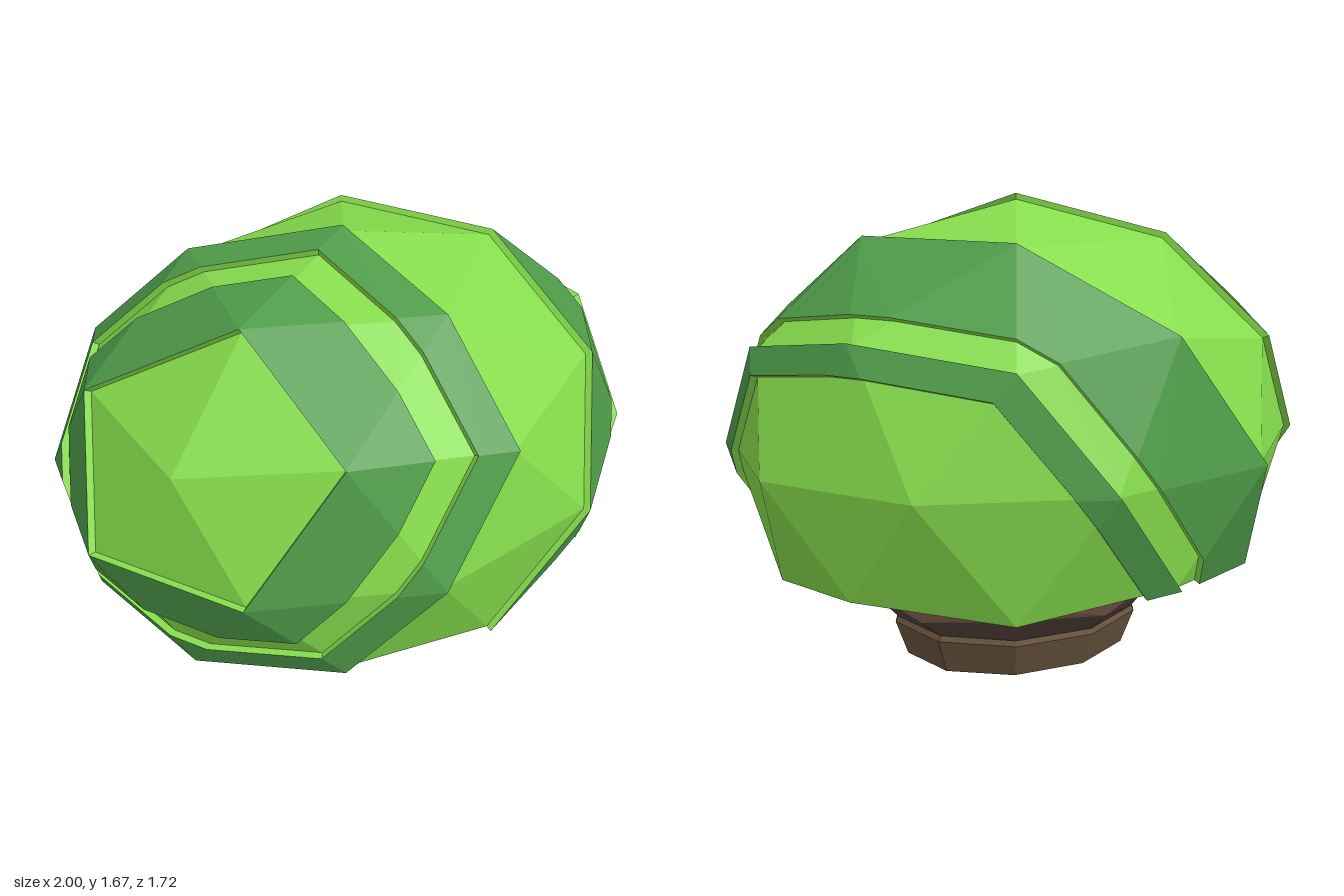
import * as THREE from 'three';

const LIGHT = 0x86dc4c, DARK = 0x4f9c4a, BROWN = 0x57443a, ROSE = 0x8c665a, POT = 0x6b553f;
const SIZE = new THREE.Vector3(1.05, 0.86, 0.86), CENTRE_Y = 0.81, RECESS = 0.975;
// axis the stripes wrap around
const AXIS = new THREE.Vector3(-0.7236, 0.4472, 0.5257);

function flatMesh(name, triangles, color) {
  const geo = new THREE.BufferGeometry().setFromPoints(triangles);
  geo.computeVertexNormals();
  const mesh = new THREE.Mesh(geo, new THREE.MeshStandardMaterial({ color, flatShading: true, side: THREE.DoubleSide }));
  mesh.name = name;
  return mesh;
}

// sphere point -> model point, s = 1 for raised stripes, less for recessed panels
const place = (p, s) => new THREE.Vector3(p.x, p.y, p.z).multiplyScalar(s).multiply(SIZE).add(new THREE.Vector3(0, CENTRE_Y, 0));

// ring number (0 to 6) counted along the stripe axis, stored in w
function ringPoint(v) {
  const d = v.dot(AXIS), a = Math.abs(d);
  const ring = a > 0.95 ? 0 : a > 0.7 ? 1 : a > 0.3 ? 2 : 3;
  return new THREE.Vector4(v.x, v.y, v.z, d < 0 ? 6 - ring : ring);
}

// icosphere of one subdivision, open at the bottom
function ballFaces() {
  const ring = (k, y, turn) => {
    const a = (k * 2 + turn) * Math.PI / 5;
    return new THREE.Vector3(Math.cos(a) * 0.8944, y, Math.sin(a) * 0.8944);
  };
  const top = new THREE.Vector3(0, 1, 0), faces = [];
  const split = (a, b, c) => {
    const mid = (p, q) => p.clone().add(q).normalize();
    const ab = mid(a, b), bc = mid(b, c), ca = mid(c, a);
    for (const f of [[a, ab, ca], [ab, b, bc], [ca, bc, c], [ab, bc, ca]]) faces.push(f.map(ringPoint));
  };
  for (let k = 0; k < 5; k++) {
    const u = ring(k, 0.4472, 0), u2 = ring(k + 1, 0.4472, 0);
    const l = ring(k, -0.4472, 1), l2 = ring(k + 1, -0.4472, 1);
    split(top, u2, u);
    split(u, u2, l);
    split(l, u2, l2);
  }
  return faces;
}

// keep the part of a polygon on one side of a ring level
function clip(poly, level, sign) {
  const out = [];
  poly.forEach((p, i) => {
    const q = poly[(i + 1) % poly.length];
    const dp = (p.w - level) * sign, dq = (q.w - level) * sign;
    if (dp >= 0) out.push(p);
    if (dp * dq < 0) out.push(p.clone().lerp(q, dp / (dp - dq)));
  });
  return out;
}

function buildBall() {
  const group = new THREE.Group();
  group.name = 'stripedBall';
  const panels = [], stripes = [], walls = [], edges = new Map();
  const key = p => [p.x, p.y, p.z].map(n => Math.round(n * 1000) + 0).join();
  // start, end, raised
  const bands = [[0, 1, 0], [1, 1.5, 1], [1.5, 1.75, 0], [1.75, 2, 1], [2, 3, 0],
    [3, 3.75, 1], [3.75, 4, 0], [4, 4.22, 1], [4.22, 6, 0]];
  for (const face of ballFaces()) {
    const sum = face.reduce((s, p) => s.add(p), new THREE.Vector4());
    // one plain face continues the end panel down to the rim
    const plain = Math.abs(sum.w - 4) < 0.1 && sum.y < -0.3 && sum.x < -2 && sum.z > 1.3;
    for (const [lo, hi, raised] of plain ? [[0, 6, 0]] : bands) {
      const poly = clip(clip(face, lo, 1), hi, -1);
      if (poly.length < 3) continue;
      const target = raised ? stripes : panels, s = raised ? 1 : RECESS;
      for (let i = 1; i < poly.length - 1; i++) target.push(...[poly[0], poly[i], poly[i + 1]].map(p => place(p, s)));
      if (raised) poly.forEach((p, i) => {
        const q = poly[(i + 1) % poly.length];
        edges.set(key(p) + '|' + key(q), [p, q]);
      });
    }
  }
  // side walls wherever a stripe edge has no neighbouring stripe face
  for (const [p, q] of edges.values()) {
    if (edges.has(key(q) + '|' + key(p))) continue;
    const a = place(p, 1), b = place(q, 1), c = place(p, RECESS - 0.005), d = place(q, RECESS - 0.005);
    walls.push(a, c, b, b, c, d);
  }
  group.add(flatMesh('lightPanels', panels, LIGHT), flatMesh('darkStripes', stripes, DARK), flatMesh('stripeWalls', walls, LIGHT));
  return group;
}

// ten-sided loop; a zigzag lifts every second corner
function loop(rx, rz, y, zigzag = 0, shift = 0) {
  return Array.from({ length: 10 }, (_, k) => {
    const a = k * Math.PI / 5;
    return new THREE.Vector3(Math.cos(a) * rx + shift, y + (k % 2) * zigzag, Math.sin(a) * rz);
  });
}

function skin(upper, lower) {
  return upper.flatMap((a, k) => {
    const n = (k + 1) % 10;
    return [a, upper[n], lower[k], upper[n], lower[n], lower[k]];
  });
}

export function createModel() {
  const model = new THREE.Group();
  model.add(buildBall());

  // underside narrowing to the base
  const rim = loop(0.872, 0.714, 0.37, 0.065).map((p, k) => (k % 2 ? p.multiply(new THREE.Vector3(1.05, 1, 1.05)) : p));
  const outer = loop(0.66, 0.57, 0.37, 0.02, 0.02);
  const middle = loop(0.55, 0.49, 0.29, -0.03, 0.02);
  const neck = loop(0.46, 0.38, 0.17);
  model.add(flatMesh('underside', skin(rim, outer), BROWN));
  model.add(flatMesh('undersideBand', skin(outer, middle), ROSE));
  model.add(flatMesh('neck', skin(middle, neck), BROWN));

  // base
  const baseTop = loop(0.47, 0.385, 0.15), baseBottom = loop(0.425, 0.335, 0.02);
  const tip = loop(0, 0, 0);
  model.add(flatMesh('base', [...skin(neck, baseTop), ...skin(baseTop, baseBottom), ...skin(baseBottom, tip)], POT));
  return model;
}
